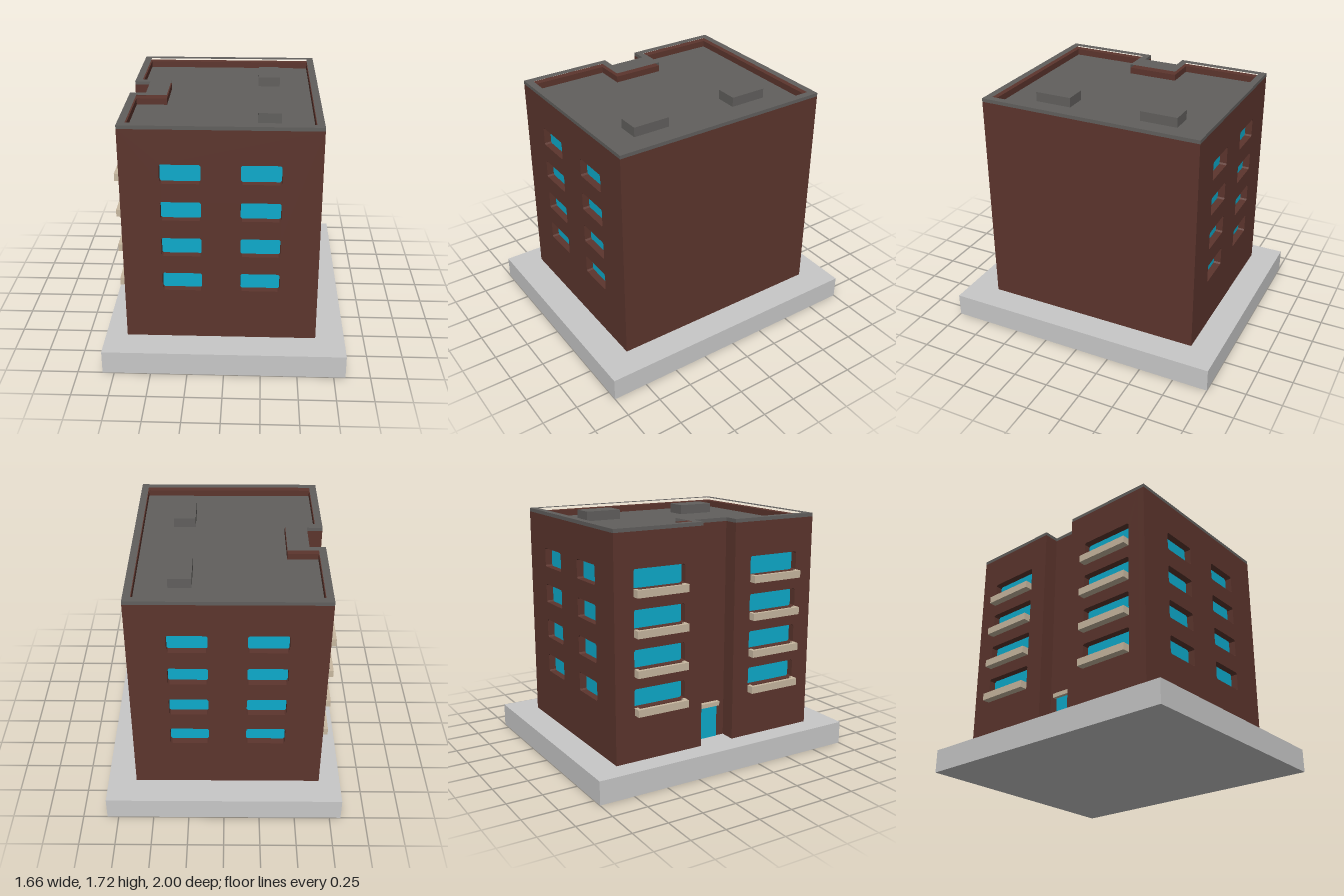
import * as THREE from 'three';

const mat = (name, color) => new THREE.MeshStandardMaterial({ name, color });

export function createModel() {
  const model = new THREE.Group();
  model.name = 'apartmentBuilding';
  const concrete = mat('pale concrete', 0xc8c8c8);
  const brick = mat('brown brick', 0x5c352d);
  const roofGrey = mat('roof grey', 0x615f5d);
  const glass = mat('blue glass', 0x0daacb);
  const stone = mat('beige stone', 0xc8b8a0);

  const add = (name, geometry, material, parent = model) => {
    const mesh = new THREE.Mesh(geometry, material);
    mesh.name = name;
    parent.add(mesh);
    return mesh;
  };
  // Box given by its minimum and maximum corners
  const box = (name, material, [x0, y0, z0], [x1, y1, z1], parent) => {
    const mesh = add(name, new THREE.BoxGeometry(x1 - x0, y1 - y0, z1 - z0), material, parent);
    mesh.position.set((x0 + x1) / 2, (y0 + y1) / 2, (z0 + z1) / 2);
    return mesh;
  };

  const ground = 0.165, wallTop = 1.695, top = 1.72, roofY = 1.65;
  const X0 = -0.68, X1 = 0.63, Z0 = -0.8, Z1 = 0.78, T = 0.05;
  const floors = [0, 1, 2, 3].map(i => 0.535 + 0.2635 * i);
  const winH = 0.133;

  // Plan outline with an entrance notch in the -x side
  const plan = (x0, x1, z0, z1, notchX, n0, n1) => [
    [x0, z0], [x1, z0], [x1, z1], [x0, z1],
    [x0, n1], [notchX, n1], [notchX, n0], [x0, n0],
  ].map(([x, z]) => new THREE.Vector2(x, -z));
  const outer = plan(X0, X1, Z0, Z1, -0.57, -0.14, 0.12);
  const inner = plan(X0 + T, X1 - T, Z0 + T, Z1 - T, -0.42, -0.19, 0.17);
  const slab = (name, shape, y, height, material) => {
    const g = new THREE.ExtrudeGeometry(shape, { depth: height, bevelEnabled: false });
    add(name, g.rotateX(-Math.PI / 2), material).position.y = y;
  };

  // Window opening with small cut corners
  const opening = (u0, u1, v0, v1, c = 0.01) => new THREE.Path([
    [u0 + c, v0], [u1 - c, v0], [u1, v0 + c], [u1, v1 - c],
    [u1 - c, v1], [u0 + c, v1], [u0, v1 - c], [u0, v0 + c],
  ].map(p => new THREE.Vector2(...p)));
  // Wall panel with a grid of openings, thickness along its local z
  const panel = (u0, u1, columns) => {
    const s = new THREE.Shape([[u0, ground], [u1, ground], [u1, wallTop], [u0, wallTop]]
      .map(p => new THREE.Vector2(...p)));
    for (const [a, b] of columns) for (const y of floors) s.holes.push(opening(a, b, y, y + winH));
    return new THREE.ExtrudeGeometry(s, { depth: T, bevelEnabled: false });
  };

  box('base', concrete, [-0.83, 0, -1], [0.83, ground, 1]);

  // Front and back walls with recessed windows
  const columns = [[-0.42, -0.152], [0.105, 0.37]];
  add('frontWall', panel(X0, X1, columns), brick).position.z = Z1 - T;
  add('backWall', panel(X0, X1, columns), brick).position.z = Z0;
  for (const [a, b] of columns) for (const y of floors) {
    box('frontWindow', glass, [a - 0.01, y - 0.01, Z1 - T - 0.009], [b + 0.01, y + winH + 0.01, Z1 - T]);
    box('backWindow', glass, [a - 0.01, y - 0.01, Z0 + T], [b + 0.01, y + winH + 0.01, Z0 + T + 0.009]);
  }

  // Plain wall
  box('plainWall', brick, [X1 - T, ground, Z0 + T], [X1, wallTop, Z1 - T]);

  // Balcony side: two wall panels beside the entrance notch
  const bays = [[Z0 + T, -0.14, -0.66, -0.275], [0.12, Z1 - T, 0.25, 0.645]];
  for (const [w0, w1, a, b] of bays) {
    add('balconyWall', panel(w0, w1, [[a, b]]).rotateY(-Math.PI / 2), brick).position.x = X0 + T;
    for (const y of floors) {
      box('balconyWindow', glass, [X0 + T, y - 0.01, a - 0.01], [X0 + T + 0.009, y + winH + 0.01, b + 0.01]);
      const balcony = new THREE.Group();
      balcony.name = 'balcony';
      model.add(balcony);
      const y0 = y - 0.045, y1 = y + 0.006, xo = X0 - 0.053, t = 0.024;
      box('balconyFloor', stone, [xo + t, y0, a + t], [X0, y0 + 0.025, b - t], balcony);
      box('balconyRail', stone, [xo, y0, a], [xo + t, y1, b], balcony);
      box('balconyEnd', stone, [xo + t, y0, a], [X0, y1, a + t], balcony);
      box('balconyEnd', stone, [xo + t, y0, b - t], [X0, y1, b], balcony);
    }
  }

  // Entrance notch, door and canopy
  box('notchWall', brick, [-0.57, ground, -0.19], [-0.42, wallTop, 0.17]);
  box('notchCheek', brick, [X0 + T, ground, -0.19], [-0.57, wallTop, -0.14]);
  box('notchCheek', brick, [X0 + T, ground, 0.12], [-0.57, wallTop, 0.17]);
  box('door', glass, [-0.575, ground, -0.08], [-0.57, 0.4, 0.058]);
  box('doorCanopy', stone, [-0.6, 0.4, -0.09], [-0.57, 0.43, 0.065]);

  // Roof deck, parapet cap and roof units
  slab('roofDeck', new THREE.Shape(inner), roofY - 0.05, 0.05, roofGrey);
  const capShape = new THREE.Shape(outer);
  capShape.holes.push(new THREE.Path(inner));
  slab('parapetCap', capShape, wallTop, top - wallTop, roofGrey);
  for (const z of [-0.54, 0.25]) box('roofUnit', roofGrey, [0.21, roofY, z], [0.365, 1.718, z + 0.265]);

  return model;
}
